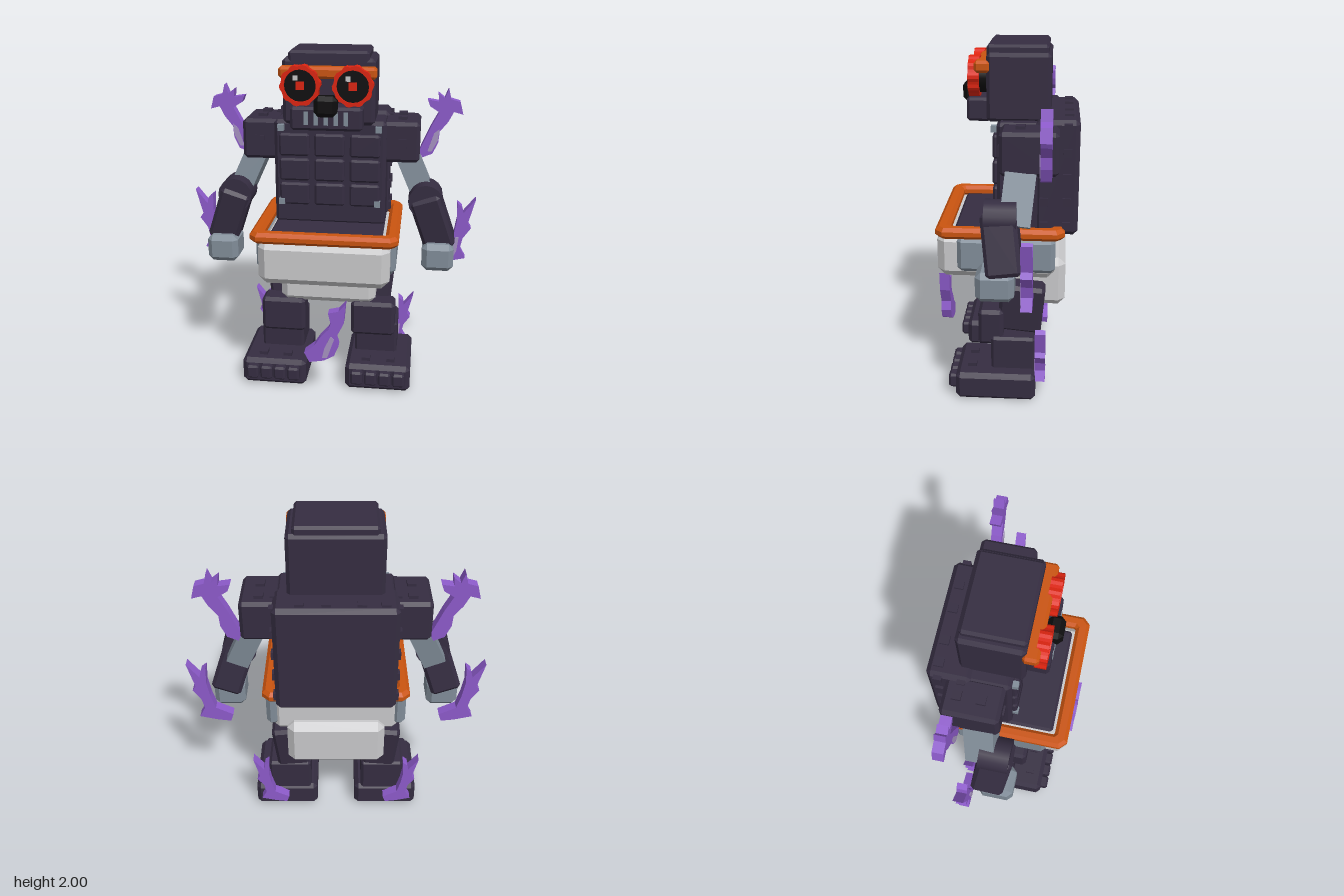
import * as THREE from 'three';
import { ConvexGeometry } from 'three/addons/geometries/ConvexGeometry.js';

const mat = (name, color) => Object.assign(new THREE.MeshStandardMaterial({ color }), { name });

export function createModel() {
  const root = new THREE.Group();
  const dark = mat('dark plum', 0x352d41);
  const white = mat('off white', 0xc9c9cb);
  const grey = mat('steel grey', 0x818d99);
  const orange = mat('orange', 0xca5410);
  const red = mat('red', 0xdd2410);
  const black = mat('black', 0x0e0d0e);
  const purple = mat('purple', 0x8d5bcb);
  const lilac = mat('pale lilac', 0xa793c2);

  const add = (name, geo, m, x = 0, y = 0, z = 0, parent = root) => {
    const mesh = new THREE.Mesh(geo, m);
    mesh.name = name;
    mesh.position.set(x, y, z);
    parent.add(mesh);
    return mesh;
  };

  // Box with chamfered edges and corners
  const chamferBox = (w, h, d, c) => {
    const pts = [];
    for (const i of [-1, 1]) for (const j of [-1, 1]) for (const k of [-1, 1]) {
      const X = i * w / 2, Y = j * h / 2, Z = k * d / 2;
      pts.push(new THREE.Vector3(X, Y - j * c, Z - k * c),
        new THREE.Vector3(X - i * c, Y, Z - k * c),
        new THREE.Vector3(X - i * c, Y - j * c, Z));
    }
    return new ConvexGeometry(pts);
  };

  // Block from its lower and upper limits on each axis
  const block = (name, m, x0, x1, y0, y1, z0, z1, c = 0.015) =>
    add(name, chamferBox(x1 - x0, y1 - y0, z1 - z0, c), m,
      (x0 + x1) / 2, (y0 + y1) / 2, (z0 + z1) / 2);
  // Block on one side, from its inner and outer x
  const sideBlock = (name, m, s, xi, xo, ...rest) =>
    block(name, m, Math.min(s * xi, s * xo), Math.max(s * xi, s * xo), ...rest);
  const stud = (name, m, x, y, z, w, h, d) => add(name, new THREE.BoxGeometry(w, h, d), m, x, y, z);

  // Head, cap, brow and muzzle
  block('head', dark, -0.26, 0.26, 1.59, 1.96, -0.25, 0.1, 0.02);
  block('headCap', dark, -0.225, 0.225, 1.92, 2, -0.235, 0.1);
  block('brow', orange, -0.27, 0.27, 1.855, 1.92, 0.08, 0.165);
  block('muzzle', dark, -0.2, 0.2, 1.58, 1.71, 0.08, 0.213);
  for (let i = -2; i <= 2; i++) stud('tooth', grey, i * 0.055, 1.65, 0.212, 0.023, 0.075, 0.012);
  block('nose', black, -0.065, 0.065, 1.66, 1.775, 0.16, 0.25, 0.025);

  // Goggle eyes
  const ringShape = new THREE.Shape();
  const N = 40;
  for (let i = 0; i < N; i++) {
    const a = i / N * Math.PI * 2, r = i % 4 < 2 ? 0.113 : 0.106;
    ringShape[i ? 'lineTo' : 'moveTo'](r * Math.cos(a), r * Math.sin(a));
  }
  ringShape.holes.push(new THREE.Path().absarc(0, 0, 0.088, 0, Math.PI * 2, true));
  const ringGeo = new THREE.ExtrudeGeometry(ringShape, { depth: 0.06, bevelEnabled: false, curveSegments: 10 });
  for (const s of [-1, 1]) {
    const x = s * 0.144, y = 1.823;
    add('eyeRim', ringGeo, red, x, y, 0.14);
    add('eyeLens', new THREE.CylinderGeometry(0.09, 0.09, 0.085, 20), black, x, y, 0.145).rotation.x = Math.PI / 2;
    stud('pupil', red, x, y, 0.19, 0.045, 0.045, 0.008);
    stud('eyeGlint', white, x - 0.026, y + 0.04, 0.19, 0.026, 0.026, 0.008);
  }

  // Torso with chest plates and back box
  block('torso', dark, -0.325, 0.325, 0.98, 1.6, -0.3, 0.04, 0.02);
  block('backBox', dark, -0.335, 0.335, 0.97, 1.62, -0.41, -0.17, 0.025);
  for (let col = -1; col <= 1; col++) for (let row = -1; row <= 1; row++)
    block('chestPlate', dark, col * 0.205 - 0.088, col * 0.205 + 0.088,
      1.313 + row * 0.147 - 0.066, 1.313 + row * 0.147 + 0.066, 0.02, 0.065, 0.012);
  for (const s of [-1, 1]) {
    for (const y of [1.56, 1.12]) stud('chestScrew', grey, s * 0.28, y, 0.055, 0.035, 0.035, 0.035);
    for (const z of [-0.22, -0.345]) for (let i = 0; i < 5; i++)
      stud('sideRivet', dark, s * 0.335, 1.03 + i * 0.138, z, 0.03, 0.045, 0.045);
  }
  for (const x of [-0.26, -0.135, 0.05, 0.19]) stud('topRivet', dark, x, 1.62, -0.35, 0.05, 0.025, 0.05);

  // Belt ring around the waist tray
  const rect = (S, w, z0, z1, c) => {
    const p = [[w - c, -z1], [w, c - z1], [w, -z0 - c], [w - c, -z0],
      [c - w, -z0], [-w, -z0 - c], [-w, c - z1], [c - w, -z1]];
    return new S(p.map(q => new THREE.Vector2(...q)));
  };
  const beltShape = rect(THREE.Shape, 0.4, -0.32, 0.36, 0.03);
  beltShape.holes.push(rect(THREE.Path, 0.365, -0.28, 0.32, 0.02));
  const beltGeo = new THREE.ExtrudeGeometry(beltShape,
    { depth: 0.025, bevelThickness: 0.02, bevelSize: 0.02, bevelSegments: 1 });
  add('belt', beltGeo, orange, 0, 0.98, 0).rotation.x = -Math.PI / 2;
  block('trayFloor', dark, -0.325, 0.325, 0.94, 0.99, -0.27, 0.285);
  block('hipBowl', white, -0.375, 0.375, 0.71, 0.975, -0.29, 0.378, 0.045);
  block('pelvis', white, -0.285, 0.285, 0.505, 0.8, -0.35, 0.145, 0.04);

  // Flames: flat cut-outs, points in front-plane units
  const flame = (name, pts, stripe, s, z) => {
    const outline = a => new THREE.Shape(a.map(([x, y]) => new THREE.Vector2(x * s, y)));
    const g = new THREE.Group();
    g.name = name;
    add('flameBody', new THREE.ExtrudeGeometry(outline(pts), { depth: 0.06, bevelEnabled: false }), purple, 0, 0, z - 0.03, g);
    add('flameStreak', new THREE.ExtrudeGeometry(outline(stripe), { depth: 0.006, bevelEnabled: false }), lilac, 0, 0, z + 0.028, g);
    root.add(g);
  };
  const shoulderFlame = [[0.51, 1.38], [0.575, 1.53], [0.62, 1.615], [0.565, 1.65], [0.55, 1.69], [0.615, 1.68],
    [0.61, 1.73], [0.648, 1.70], [0.67, 1.755], [0.685, 1.695], [0.74, 1.68], [0.76, 1.605], [0.705, 1.62],
    [0.675, 1.56], [0.627, 1.5], [0.622, 1.435], [0.59, 1.365], [0.53, 1.34]];
  const shoulderStreak = [[0.56, 1.38], [0.595, 1.49], [0.625, 1.515], [0.62, 1.45], [0.585, 1.38]];
  const handFlame = [[0.86, 1.115], [0.79, 1.025], [0.78, 1.065], [0.75, 1.09], [0.755, 0.98], [0.74, 0.89],
    [0.715, 0.80], [0.615, 0.75], [0.632, 0.70], [0.71, 0.71], [0.815, 0.735], [0.78, 0.80], [0.795, 0.865],
    [0.84, 0.93], [0.82, 0.96]];
  const handStreak = [[0.77, 0.87], [0.75, 0.87], [0.72, 0.75], [0.74, 0.735], [0.76, 0.78]];
  const shift = (a, k, dx, dy) => a.map(([x, y]) => [x * k + dx, y * k + dy]);
  const loinFlame = [[-0.105, 0.31], [-0.075, 0.25], [0.01, 0.265], [0.07, 0.3], [0.095, 0.36], [0.08, 0.415],
    [0.125, 0.51], [0.135, 0.63], [0.095, 0.585], [0.035, 0.57], [0.05, 0.505], [0.035, 0.465], [-0.01, 0.415], [-0.045, 0.36]];
  const loinStreak = [[0.05, 0.425], [0.07, 0.405], [0.03, 0.285], [0.0, 0.285], [0.015, 0.35]];
  flame('loinFlame', loinFlame, loinStreak, 1, 0.376);

  for (const s of [-1, 1]) {
    const side = s > 0 ? 'left' : 'right';
    sideBlock(side + 'HipPad', grey, s, 0.33, 0.405, 0.76, 0.965, -0.29, 0.26, 0.025);

    // Arm
    sideBlock(side + 'Shoulder', dark, s, 0.3, 0.515, 1.36, 1.595, -0.3, 0.015, 0.02);
    stud(side + 'ShoulderStud', dark, s * 0.41, 1.475, 0.015, 0.055, 0.055, 0.02);
    for (const z of [-0.225, -0.095]) stud(side + 'ShoulderTopStud', dark, s * 0.41, 1.6, z, 0.05, 0.025, 0.05);
    const upper = add(side + 'UpperArm', new THREE.BoxGeometry(0.13, 0.36, 0.165), grey, s * 0.495, 1.27, -0.09);
    upper.rotation.set(-0.1, 0, s * 0.42);
    add(side + 'Elbow', new THREE.CylinderGeometry(0.1, 0.1, 0.17, 16), dark, s * 0.56, 1.15, 0).rotation.x = Math.PI / 2;
    const fore = add(side + 'Forearm', chamferBox(0.18, 0.34, 0.19, 0.02), dark, s * 0.605, 1.02, -0.01);
    fore.rotation.set(0.13, 0, s * 0.33);
    sideBlock(side + 'Hand', grey, s, 0.55, 0.735, 0.735, 0.9, -0.08, 0.125, 0.03);

    // Leg
    const thigh = add(side + 'Thigh', chamferBox(0.2, 0.3, 0.255, 0.02), dark, s * 0.275, 0.525, -0.1);
    thigh.rotation.set(-0.09, 0, -s * 0.1);
    sideBlock(side + 'Knee', dark, s, 0.14, 0.405, 0.305, 0.52, 0, 0.145, 0.02);
    sideBlock(side + 'Shin', dark, s, 0.16, 0.42, 0.14, 0.36, -0.185, 0.07);
    sideBlock(side + 'Foot', dark, s, 0.12, 0.51, 0, 0.165, -0.19, 0.27, 0.025);
    for (let i = 0; i < 4; i++)
      sideBlock(side + 'Toe', dark, s, 0.155 + i * 0.083, 0.228 + i * 0.083, 0.055, 0.14, 0.25, 0.313, 0.012);
    for (const x of [0.24, 0.39]) stud(side + 'FootStud', dark, s * x, 0.17, 0.18, 0.05, 0.03, 0.05);

    // Flames along the limbs
    flame(side + 'ShoulderFlame', shoulderFlame, shoulderStreak, s, -0.235);
    flame(side + 'HandFlame', handFlame, handStreak, s, -0.148);
    flame(side + 'FootFlame', shift(handFlame, 0.86, -0.23, -0.52), shift(handStreak, 0.86, -0.23, -0.52), s, -0.215);
  }
  return root;
}
